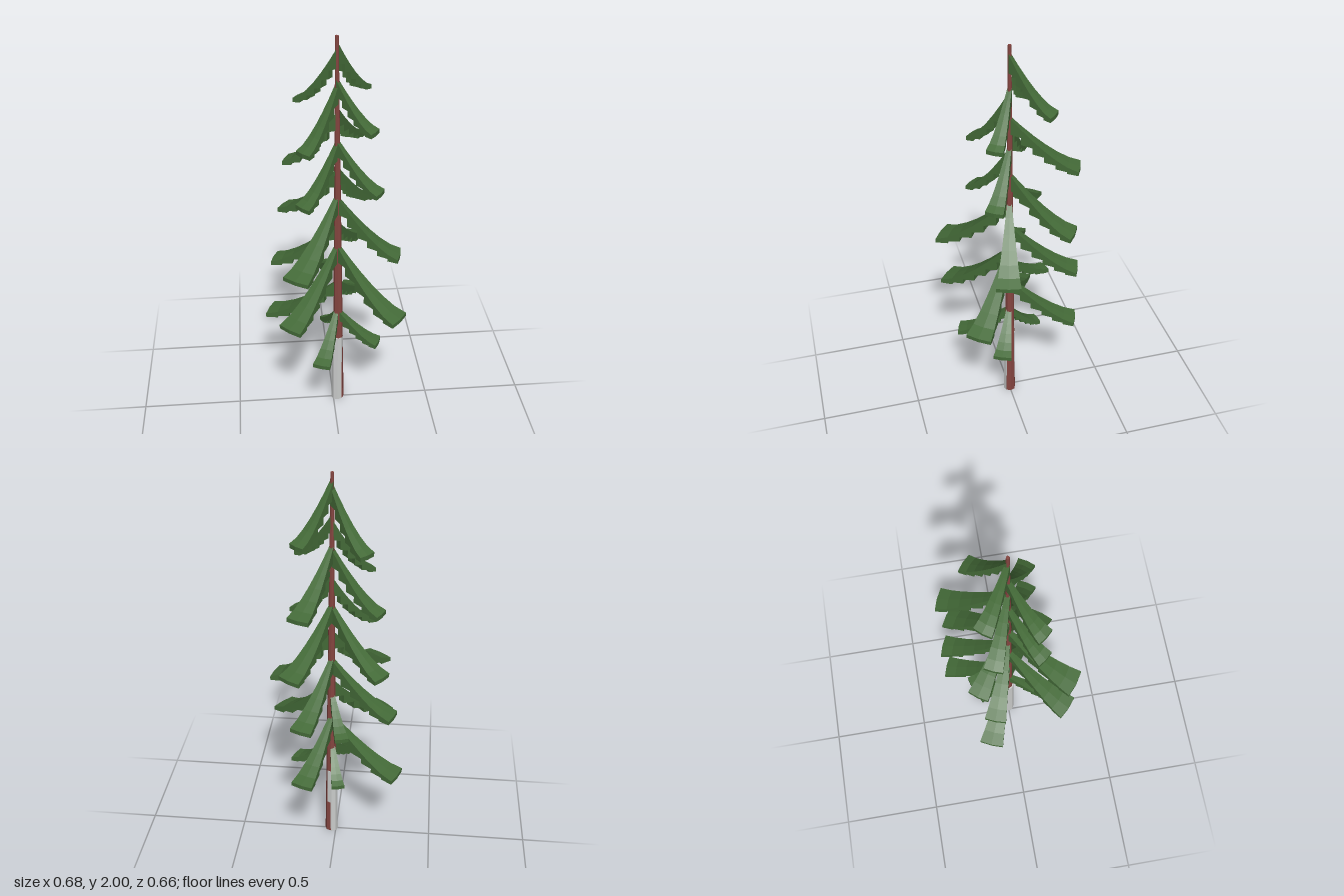
import * as THREE from 'three';

const needles = new THREE.MeshStandardMaterial({ name: 'needleGreen', color: 0x446b38, flatShading: true });
const bark = new THREE.MeshStandardMaterial({ name: 'barkBrown', color: 0x854540, flatShading: true });
const grey = new THREE.MeshStandardMaterial({ name: 'baseGrey', color: 0xcacccb, flatShading: true });

const AXIS_X = 0.018;
const STEPS = 6;
const INNER_HALF_WIDTH = 0.01;

// Drooping fan: smooth concave top, stair-stepped underside, widening to the tip
function branchGeometry(tipX, tipZ, halfWidth, startY, tipY) {
  const dx = tipX - AXIS_X;
  const reach = Math.hypot(dx, tipZ);
  const cos = dx / reach, sin = tipZ / reach;
  const length = Math.hypot(reach, halfWidth);
  const thickness = 0.02;
  const topY = (u) => startY - (startY - tipY - thickness) * (1 - Math.pow(1 - u, 1.45));

  // stations along the branch: two per step, so that each riser is vertical
  const stations = [];
  for (let k = 0; k < STEPS; k++) {
    const inner = k / STEPS, outer = (k + 1) / STEPS;
    const level = topY(outer) - thickness * (1 + 1.3 * (1 - outer));
    const tilt = 0.2 * (topY(inner) - topY(outer));
    stations.push([inner, level + tilt], [outer, level]);
  }
  const point = (u, y, j) => {
    const along = u * (j === 1 ? length : reach);
    const across = (j - 1) * THREE.MathUtils.lerp(INNER_HALF_WIDTH, halfWidth, u);
    return [AXIS_X + along * cos - across * sin, y, along * sin + across * cos];
  };
  const T = stations.map(([u]) => [0, 1, 2].map((j) => point(u, topY(u), j)));
  const B = stations.map(([u, y]) => [0, 1, 2].map((j) => point(u, y, j)));

  const pos = [];
  const quad = (a, b, c, d) => pos.push(...a, ...b, ...c, ...a, ...c, ...d);
  const n = stations.length - 1;
  for (let i = 0; i < n; i++) {
    const riser = stations[i][0] === stations[i + 1][0];
    for (let j = 0; j < 2; j++) {
      quad(B[i][j], B[i + 1][j], B[i + 1][j + 1], B[i][j + 1]);
      if (!riser) quad(T[i][j], T[i][j + 1], T[i + 1][j + 1], T[i + 1][j]);
    }
    if (!riser) {
      quad(T[i][0], T[i + 1][0], B[i + 1][0], B[i][0]);
      quad(T[i][2], B[i][2], B[i + 1][2], T[i + 1][2]);
    }
  }
  for (let j = 0; j < 2; j++) quad(T[n][j], T[n][j + 1], B[n][j + 1], B[n][j]);

  const geometry = new THREE.BufferGeometry();
  geometry.setAttribute('position', new THREE.Float32BufferAttribute(pos, 3));
  geometry.computeVertexNormals();
  return geometry;
}

// tip x, tip z, half width at tip, height at trunk, height at tip
const BRANCHES = [
  [0.157, -0.163, 0.043, 1.96, 1.70],
  [-0.15, -0.134, 0.044, 1.94, 1.66],
  [0.178, 0.11, 0.04, 1.80, 1.57],
  [-0.148, 0.136, 0.044, 1.78, 1.49],
  [0.14, -0.295, 0.054, 1.66, 1.41],
  [-0.217, -0.105, 0.044, 1.65, 1.36],
  [0.208, 0.122, 0.044, 1.51, 1.27],
  [-0.155, 0.143, 0.045, 1.50, 1.22],
  [0.192, -0.265, 0.06, 1.37, 1.08],
  [-0.232, -0.184, 0.052, 1.36, 1.07],
  [0.313, 0.082, 0.059, 1.22, 0.91],
  [-0.2, 0.293, 0.069, 1.22, 0.92],
  [0.137, -0.31, 0.055, 1.08, 0.83],
  [-0.287, -0.115, 0.053, 1.07, 0.81],
  [0.302, 0.228, 0.064, 0.96, 0.63],
  [-0.232, 0.267, 0.064, 0.95, 0.63],
  [-0.048, -0.204, 0.034, 0.87, 0.72],
  [0.137, -0.31, 0.055, 0.75, 0.51],
  [-0.317, -0.145, 0.061, 0.74, 0.48],
  [0.22, 0.09, 0.045, 0.58, 0.40],
  [-0.026, -0.162, 0.033, 0.57, 0.40],
  [-0.08, 0.245, 0.044, 0.57, 0.385],
];

export function createModel() {
  const tree = new THREE.Group();
  tree.name = 'pineTree';

  // Trunk leaning slightly towards the axis as it tapers
  const trunkGeometry = new THREE.CylinderGeometry(0.008, 0.029, 1.997, 8, 4);
  trunkGeometry.translate(0, 1.0015, 0);
  const p = trunkGeometry.attributes.position;
  for (let i = 0; i < p.count; i++) p.setX(i, p.getX(i) + 0.027 - 0.0055 * p.getY(i));
  const trunk = new THREE.Mesh(trunkGeometry, bark);
  trunk.name = 'trunk';
  tree.add(trunk);

  // Grey sleeve around the foot of the trunk
  const sleeve = new THREE.Mesh(new THREE.CylinderGeometry(0.029, 0.031, 0.4, 8), grey);
  sleeve.name = 'trunkBase';
  sleeve.position.set(0.021, 0.2, 0.001);
  tree.add(sleeve);

  const branches = new THREE.Group();
  branches.name = 'branches';
  for (const row of BRANCHES) {
    const branch = new THREE.Mesh(branchGeometry(...row), needles);
    branch.name = 'branch';
    branches.add(branch);
  }
  tree.add(branches);
  return tree;
}
